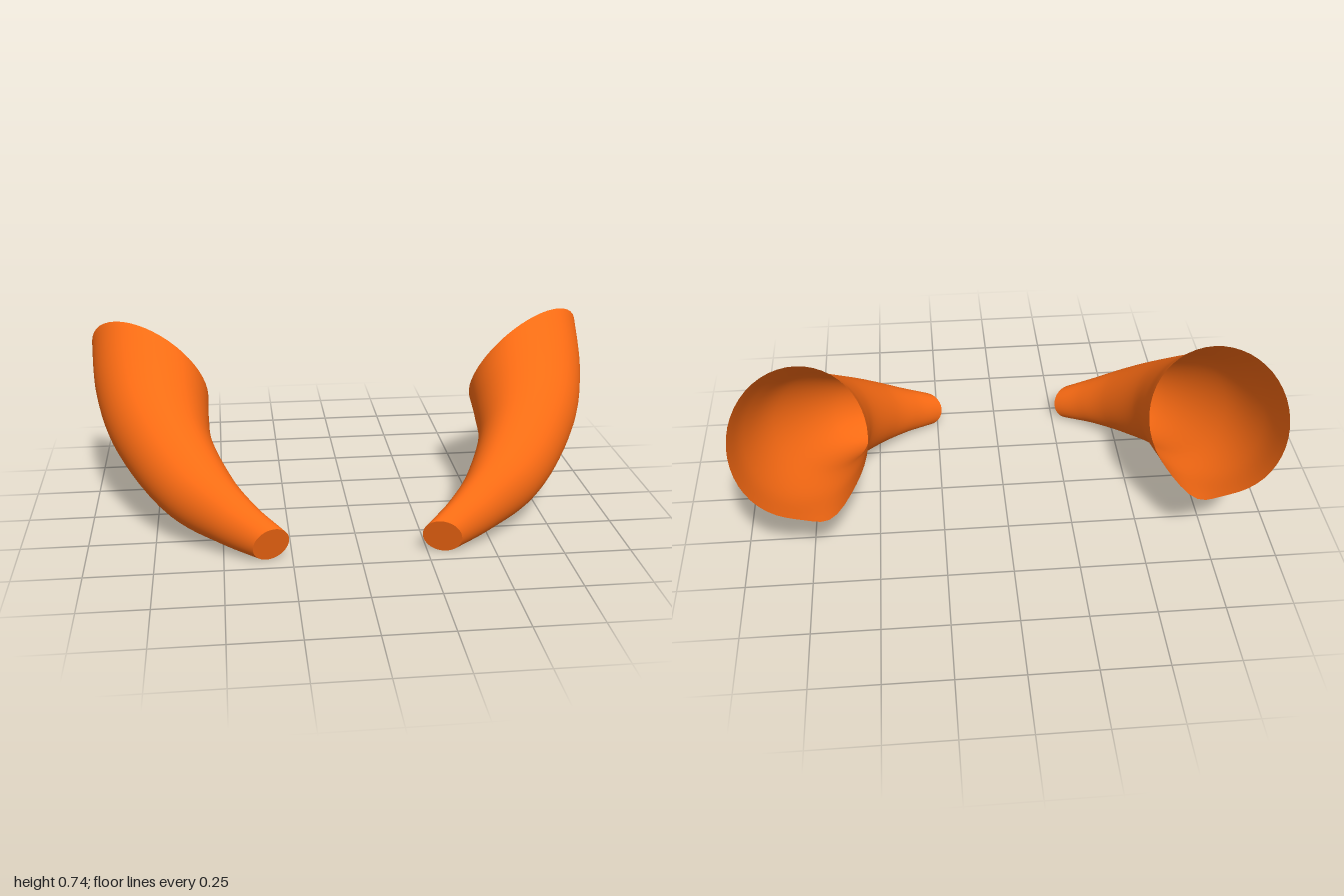
import * as THREE from 'three';

// Sections from tip to rim: centre, radius, plane normal (towards the tip)
const SECTIONS = [
  { c: [0.30, 0.07, 0.45], r: 0.073, n: [-0.3, -0.3, 0.9] },
  { c: [0.425, 0.122, 0.38], r: 0.104, n: [-0.2, -0.34, 0.92] },
  { c: [0.56, 0.192, 0.275], r: 0.146, n: [-0.1, -0.37, 0.92] },
  { c: [0.70, 0.32, 0.06], r: 0.195, n: [0.1, -0.43, 0.9] },
  { c: [0.748, 0.41, -0.13], r: 0.24, n: [0.3, -0.47, 0.8] },
  { c: [0.76, 0.505, -0.29], r: 0.273, n: [0.476, -0.51, 0.718] },
];
const STEPS = 30;
const SIDES = 48;
const LIP_ANGLE = 4.28;

const curve = (pick) => new THREE.CatmullRomCurve3(SECTIONS.map((s) => new THREE.Vector3(...pick(s))));
const centres = curve((s) => s.c);
const normals = curve((s) => s.n);
const radii = curve((s) => [s.r, s.c[1], s.c[2]]);

// Circle of points on the tilted plane of the section at t
function ring(t, mapX) {
  const c = centres.getPoint(t);
  const n = normals.getPoint(t).normalize();
  const r = radii.getPoint(t).x;
  const u = new THREE.Vector3(1, 0, 0).addScaledVector(n, -n.x).normalize();
  const v = new THREE.Vector3().crossVectors(n, u);
  const out = [];
  for (let j = 0; j < SIDES; j++) {
    const a = (j / SIDES) * Math.PI * 2;
    const p = c.clone().addScaledVector(u, r * Math.cos(a)).addScaledVector(v, r * Math.sin(a));
    // The underside of the rim reaches a little further back
    const lip = 0.06 * t ** 6 * Math.exp(-(((a - LIP_ANGLE) / 0.35) ** 2));
    out.push(mapX(p.x), p.y, p.z - lip);
  }
  return out;
}

function makeGeometry(positions, index, flip) {
  const g = new THREE.BufferGeometry();
  g.setAttribute('position', new THREE.Float32BufferAttribute(positions, 3));
  g.setIndex(flip ? index.reverse() : index);
  g.computeVertexNormals();
  return g;
}

function makeHorn(name, mapX, flip, material) {
  const horn = new THREE.Group();
  horn.name = name;

  // Curved, flaring wall, open at the wide end
  const positions = [];
  const index = [];
  for (let i = 0; i <= STEPS; i++) {
    positions.push(...ring(i / STEPS, mapX));
    if (i === STEPS) break;
    for (let j = 0; j < SIDES; j++) {
      const k = (j + 1) % SIDES;
      const a = i * SIDES + j, b = i * SIDES + k;
      index.push(a, a + SIDES, b, b, a + SIDES, b + SIDES);
    }
  }
  const wall = new THREE.Mesh(makeGeometry(positions, index, flip), material);
  wall.name = 'hornWall';

  // Flat disc closing the narrow tip
  const tip = centres.getPoint(0);
  const capPositions = [...ring(0, mapX), mapX(tip.x), tip.y, tip.z];
  const capIndex = [];
  for (let j = 0; j < SIDES; j++) capIndex.push(SIDES, j, (j + 1) % SIDES);
  const cap = new THREE.Mesh(makeGeometry(capPositions, capIndex, flip), material);
  cap.name = 'tipCap';

  horn.add(wall, cap);
  return horn;
}

export function createModel() {
  const group = new THREE.Group();
  group.name = 'hornPair';
  const material = new THREE.MeshStandardMaterial({ color: 0xff6d14, side: THREE.DoubleSide });
  group.add(makeHorn('leftHorn', (x) => x, false, material));
  // The right horn is mirrored and slightly narrower
  group.add(makeHorn('rightHorn', (x) => -(0.04 + 0.96 * x), true, material));
  return group;
}
